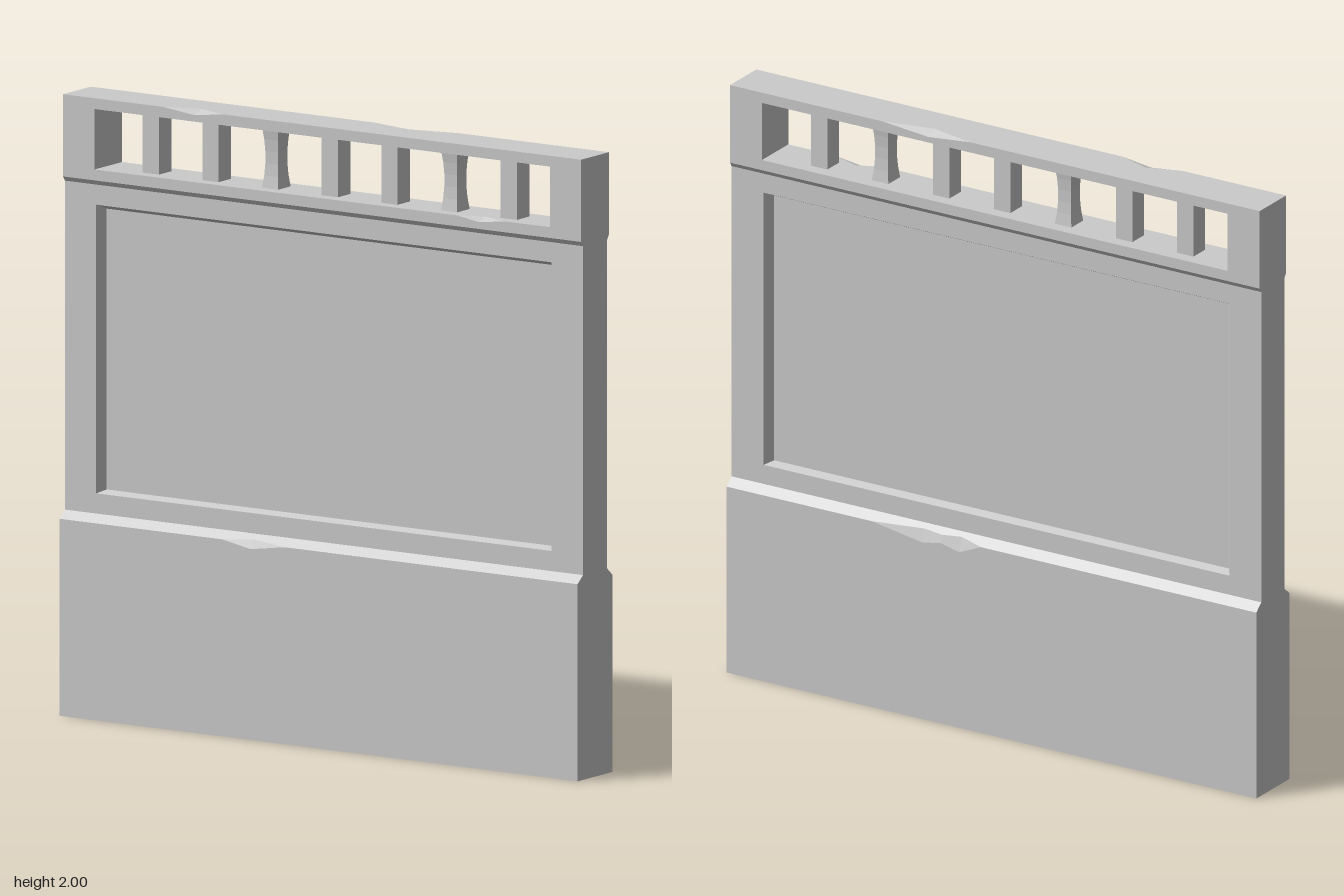
import * as THREE from 'three';

const W = 0.993;              // half width of the wall
const BASE = 0.098, MID = 0.068, TOP = 0.078; // half depths
const OPEN = 0.873;           // half width of the panel and the pierced opening

const material = new THREE.MeshStandardMaterial({ color: 0xcccccc, flatShading: true });

function meshFrom(positions, name) {
  const g = new THREE.BufferGeometry();
  g.setAttribute('position', new THREE.Float32BufferAttribute(positions, 3));
  g.computeVertexNormals();
  const m = new THREE.Mesh(g, material);
  m.name = name;
  return m;
}

// Add a triangle unless two of its corners coincide
function tri(out, a, b, c) {
  const same = (p, q) => p.every((v, i) => Math.abs(v - q[i]) < 1e-6);
  if (!same(a, b) && !same(b, c) && !same(a, c)) out.push(...a, ...b, ...c);
}

function quad(out, a, b, c, d) {
  tri(out, a, b, c);
  tri(out, a, c, d);
}

// Sweep a [z, y] profile along x. Each chip moves profile points, fading to nothing at its ends:
// { steps: [[x, amount], ...], moves: [[pointIndex, dz, dy], ...] }
function chippedRail(name, profile, chips) {
  const xs = [-W, W, ...chips.flatMap(c => c.steps.map(s => s[0]))].sort((a, b) => a - b);
  const amount = (steps, x) => {
    for (let i = 0; i < steps.length - 1; i++) {
      const [x0, a0] = steps[i], [x1, a1] = steps[i + 1];
      if (x >= x0 && x <= x1) return a0 + (a1 - a0) * (x - x0) / (x1 - x0);
    }
    return 0;
  };
  const rows = xs.map(x => {
    const row = profile.map(([z, y]) => [x, y, z]);
    for (const { steps, moves } of chips) {
      const k = amount(steps, x);
      for (const [i, dz, dy] of moves) {
        row[i][2] += dz * k;
        row[i][1] += dy * k;
      }
    }
    return row;
  });
  const out = [];
  for (let i = 0; i < rows.length - 1; i++) {
    const a = rows[i], b = rows[i + 1];
    for (let j = 0; j < profile.length - 1; j++) quad(out, a[j], b[j], b[j + 1], a[j + 1]);
  }
  const first = rows[0], last = rows[rows.length - 1];
  for (let j = 1; j < profile.length - 1; j++) {
    tri(out, first[0], first[j], first[j + 1]);
    tri(out, last[0], last[j + 1], last[j]);
  }
  return meshFrom(out, name);
}

// One face of the middle wall: rim, flat border, bevel and sunken panel
function panelFace(name) {
  const rect = (w, b, t, z) => [[-w, b, z], [w, b, z], [w, t, z], [-w, t, z]];
  const rings = [
    rect(W, 0.66, 1.72, 0),
    rect(W, 0.66, 1.72, MID),
    rect(OPEN, 0.725, 1.655, MID),
    rect(0.853, 0.735, 1.64, 0.038),
  ];
  const out = [];
  for (let r = 0; r < rings.length - 1; r++) {
    const a = rings[r], b = rings[r + 1];
    for (let k = 0; k < 4; k++) {
      const n = (k + 1) % 4;
      quad(out, a[k], a[n], b[n], b[k]);
    }
  }
  quad(out, ...rings[rings.length - 1]);
  return meshFrom(out, name);
}

// Square bar of the pierced strip; worn bars are nicked around the middle
function bar(x, worn) {
  const g = new THREE.BoxGeometry(0.062, 0.195, 0.07, 1, 5, 1);
  if (worn) {
    const p = g.attributes.position;
    for (let i = 0; i < p.count; i++) {
      const t = p.getY(i) / 0.0975;
      const waist = 1 - 0.24 * Math.max(0, 1 - t * t);
      p.setX(i, p.getX(i) * waist);
      p.setZ(i, p.getZ(i) * waist);
    }
    g.computeVertexNormals();
  }
  const m = new THREE.Mesh(g, material);
  m.position.set(x, 1.8675, 0);
  m.name = worn ? 'wornBar' : 'bar';
  return m;
}

export function createModel() {
  const group = new THREE.Group();
  group.name = 'wallSection';

  // Thick plinth with sloped shoulders; edge points are doubled so chips can open them
  group.add(chippedRail('plinth', [
    [-MID, 0.66], [-BASE, 0.635], [-BASE, 0.635], [-BASE, 0],
    [BASE, 0], [BASE, 0.635], [BASE, 0.635], [MID, 0.66],
  ], [
    { steps: [[-0.37, 0], [-0.26, 1], [-0.13, 0]], moves: [[5, 0, -0.02], [6, -0.012, 0.01]] },
    { steps: [[0.04, 0], [0.12, 1], [0.19, 0.55], [0.26, 0.9], [0.45, 0]],
      moves: [[2, 0, -0.035], [1, 0.015, 0.0125]] },
  ]));

  // Sunken panels, front and back
  group.add(panelFace('frontPanel'));
  const back = panelFace('backPanel');
  back.rotation.y = Math.PI;
  group.add(back);

  // Sill under the pierced strip
  group.add(chippedRail('sill', [
    [MID, 1.72], [TOP, 1.735], [TOP, 1.77], [TOP, 1.77],
    [-TOP, 1.77], [-TOP, 1.735], [-MID, 1.72],
  ], [
    { steps: [[0.52, 0], [0.6, 1], [0.7, 0]], moves: [[2, 0, -0.013], [3, -0.035, 0]] },
  ]));

  // Top rail with a chipped edge on each side
  group.add(chippedRail('topRail', [
    [TOP, 1.965], [TOP, 2], [TOP, 2], [-TOP, 2], [-TOP, 2], [-TOP, 1.965], [TOP, 1.965],
  ], [
    { steps: [[-0.61, 0], [-0.49, 1], [-0.38, 0]], moves: [[1, 0, -0.014], [2, -0.04, 0]] },
    { steps: [[0.09, 0], [0.25, 1], [0.42, 0]], moves: [[3, 0.035, 0], [4, 0, -0.016]] },
  ]));

  // End posts of the pierced strip
  for (const s of [-1, 1]) {
    const post = new THREE.Mesh(new THREE.BoxGeometry(W - OPEN, 0.195, TOP * 2), material);
    post.position.set(s * (W + OPEN) / 2, 1.8675, 0);
    post.name = s > 0 ? 'leftPost' : 'rightPost';
    group.add(post);
  }

  // Seven bars
  for (let i = -3; i <= 3; i++) group.add(bar(i * 0.2287, i === -1 || i === 2));

  return group;
}
